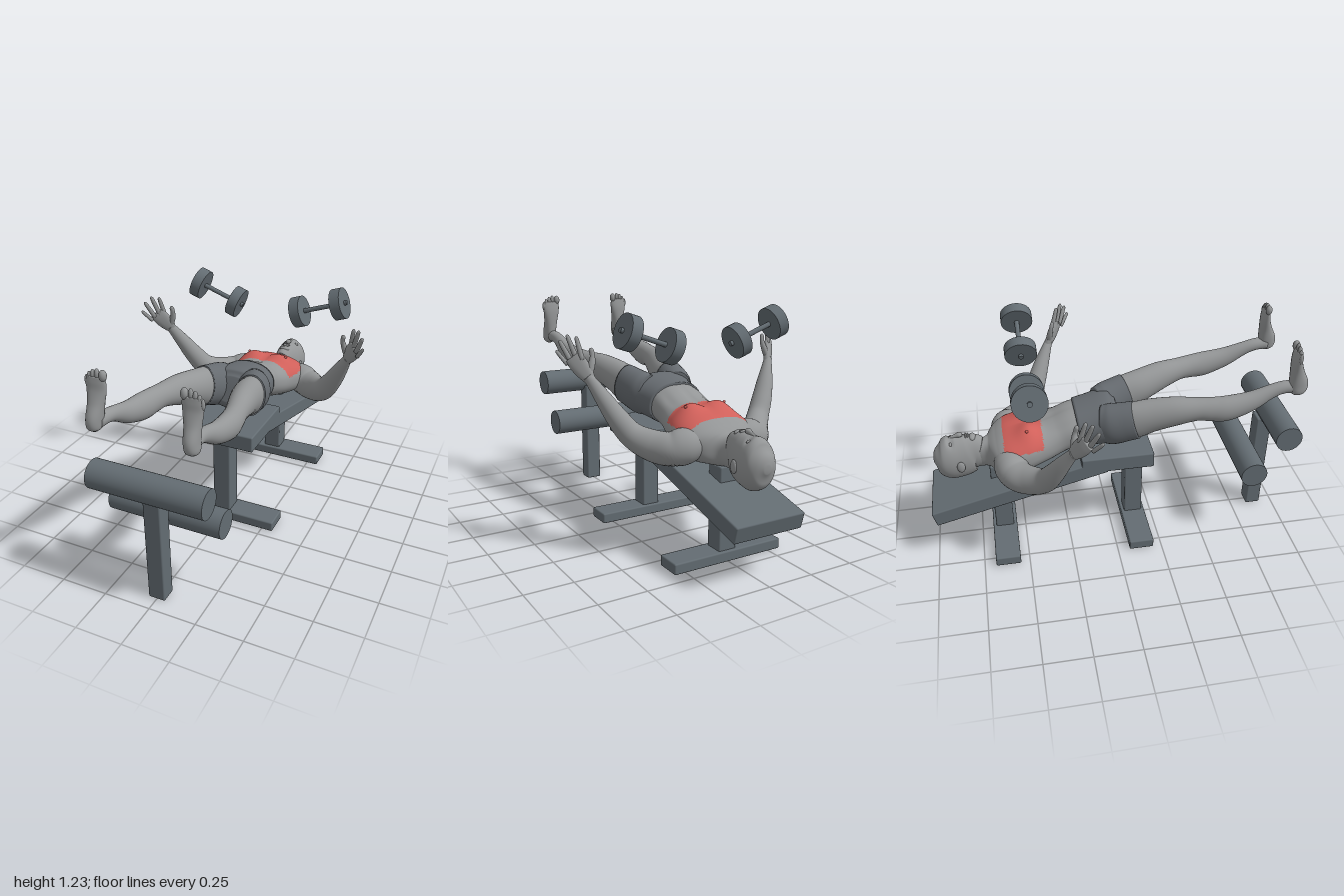
import * as THREE from 'three';
import { RoundedBoxGeometry } from 'three/addons/geometries/RoundedBoxGeometry.js';

const mat = (name, color) => Object.assign(new THREE.MeshStandardMaterial({ color }), { name });

// Closed smooth skin over elliptical sections [x, y, z, halfWidth, halfDepth]; side = width direction.
function loft(rows, { side = [1, 0, 0], seg = 32, steps = 6, power = 1 } = {}) {
  const path = new THREE.CatmullRomCurve3(rows.map(r => new THREE.Vector3(r[0], r[1], r[2])), false, 'catmullrom');
  const size = new THREE.CatmullRomCurve3(rows.map(r => new THREE.Vector3(r[3], r[4], 0)), false, 'catmullrom');
  const n = (rows.length - 1) * steps, pos = [], idx = [];
  const soft = v => Math.sign(v) * Math.abs(v) ** power;
  for (let i = 0; i <= n; i++) {
    const c = path.getPoint(i / n), r = size.getPoint(i / n), t = path.getTangent(i / n);
    const e1 = new THREE.Vector3(...side).projectOnPlane(t).normalize();
    const e2 = t.clone().cross(e1);
    for (let j = 0; j < seg; j++) {
      const a = j / seg * Math.PI * 2;
      const p = c.clone().addScaledVector(e1, r.x * soft(Math.cos(a))).addScaledVector(e2, r.y * soft(Math.sin(a)));
      pos.push(p.x, p.y, p.z);
    }
  }
  for (let i = 0; i < n; i++) for (let j = 0; j < seg; j++) {
    const a = i * seg + j, b = i * seg + (j + 1) % seg;
    idx.push(a, b, b + seg, a, b + seg, a + seg);
  }
  const c0 = (n + 1) * seg, first = path.getPoint(0), last = path.getPoint(1);
  pos.push(first.x, first.y, first.z, last.x, last.y, last.z);
  for (let j = 0; j < seg; j++) {
    const k = (j + 1) % seg;
    idx.push(c0, k, j, c0 + 1, n * seg + j, n * seg + k);
  }
  const g = new THREE.BufferGeometry();
  g.setAttribute('position', new THREE.Float32BufferAttribute(pos, 3));
  g.setIndex(idx);
  g.computeVertexNormals();
  return g;
}

// Move vertex heights by a rule
function sculpt(g, rule) {
  const p = g.attributes.position;
  for (let i = 0; i < p.count; i++) p.setY(i, p.getY(i) + rule(p.getX(i), p.getY(i), p.getZ(i)));
  g.computeVertexNormals();
  return g;
}

// Split faces into two material groups by a test on the face centre
function paint(g, test) {
  const p = g.attributes.position, id = g.index.array, sets = [[], []];
  for (let i = 0; i < id.length; i += 3) {
    const f = [id[i], id[i + 1], id[i + 2]];
    const mean = k => f.reduce((s, v) => s + p.getComponent(v, k), 0) / 3;
    sets[test(mean(0), mean(1), mean(2)) ? 1 : 0].push(...f);
  }
  g.setIndex([...sets[0], ...sets[1]]);
  g.addGroup(0, sets[0].length, 0);
  g.addGroup(sets[0].length, sets[1].length, 1);
  return g;
}

const gauss = (v, c, w) => Math.exp(-(((v - c) / w) ** 2));
// Section from [z, topY, bottomY, halfWidth]
const slab = ([z, top, bot, w]) => [0, (top + bot) / 2, z, w, (top - bot) / 2];

export function createModel() {
  const model = new THREE.Group();
  const skin = mat('skin grey', 0x949697), cloth = mat('shorts grey', 0x666b70);
  const metal = mat('equipment grey', 0x636c72), red = mat('muscle red', 0xd0605a);
  const add = (name, geo, m, parent = model, at = [0, 0, 0]) => {
    const mesh = new THREE.Mesh(geo, m);
    mesh.name = name;
    mesh.position.set(...at);
    parent.add(mesh);
    return mesh;
  };
  const group = name => { const g = new THREE.Group(); g.name = name; model.add(g); return g; };

  // Bench
  const bench = group('declineBench');
  const box = (name, w, h, d, at) => add(name, new RoundedBoxGeometry(w, h, d, 2, 0.008), metal, bench, at);
  box('seat', 0.39, 0.09, 0.395, [0, 0.535, 0.018]);
  box('backrest', 0.39, 0.088, 0.975, [0, 0.406, -0.5175]).rotation.x = -0.255;
  for (const [z, top] of [[0.134, 0.51], [-0.618, 0.49]]) {
    box('benchPost', 0.1, top - 0.02, 0.102, [0, (top + 0.02) / 2, z]);
    box('benchFoot', 0.63, 0.056, 0.137, [0, 0.03, z]);
  }
  // Leg support
  box('rollerPost', 0.09, 0.625, 0.085, [0, 0.3125, 0.884]);
  for (const [y, z] of [[0.657, 0.927], [0.434, 0.759]])
    add('roller', new THREE.CylinderGeometry(0.073, 0.073, 0.6, 40), metal, bench, [0, y, z]).rotation.z = Math.PI / 2;

  // Dumbbells
  for (const s of [1, -1]) {
    const d = group(s > 0 ? 'leftDumbbell' : 'rightDumbbell');
    d.position.set(s * 0.309, 1.095, -0.443);
    d.rotation.z = s * 0.34 - Math.PI / 2;
    add('handle', new THREE.CylinderGeometry(0.013, 0.013, 0.33, 16), metal, d);
    for (const e of [1, -1]) add('weight', new THREE.CylinderGeometry(0.086, 0.086, 0.058, 36), metal, d, [0, e * 0.121, 0]);
  }

  // Torso with chest mounds and a centre groove
  const torso = loft([[-0.12, 0.815, 0.61, 0.145], [-0.2, 0.805, 0.595, 0.148], [-0.28, 0.772, 0.57, 0.15],
    [-0.37, 0.745, 0.535, 0.175], [-0.45, 0.738, 0.51, 0.2], [-0.53, 0.722, 0.49, 0.21], [-0.59, 0.69, 0.483, 0.195],
    [-0.635, 0.662, 0.485, 0.14], [-0.67, 0.65, 0.488, 0.075], [-0.72, 0.645, 0.485, 0.05]].map(slab),
  { seg: 72, steps: 8, power: 0.88 });
  sculpt(torso, (x, y, z) => y < 0.62 ? 0 :
    0.032 * gauss(Math.abs(x), 0.09, 0.07) * gauss(z, -0.45, 0.06)
    - 0.007 * gauss(x, 0, 0.015) * gauss(z, -0.36, 0.14)
    - 0.006 * gauss(Math.abs(x), 0.105, 0.02) * gauss(z, -0.28, 0.08));
  add('torso', paint(torso, (x, y, z) => z < -0.375 && z > -0.58 && y > 0.665), [skin, red]);

  // Neck and head
  const head = loft([[-0.64, 0.65, 0.5, 0.065], [-0.69, 0.645, 0.485, 0.057], [-0.718, 0.66, 0.475, 0.056],
    [-0.738, 0.683, 0.463, 0.06], [-0.77, 0.69, 0.447, 0.072], [-0.82, 0.688, 0.428, 0.081], [-0.87, 0.684, 0.423, 0.086],
    [-0.91, 0.662, 0.44, 0.08], [-0.94, 0.62, 0.483, 0.056], [-0.958, 0.57, 0.53, 0.018]].map(slab), { seg: 48 });
  // Eye sockets and brow
  sculpt(head, (x, y, z) => y < 0.6 ? 0 : -0.014 * gauss(Math.abs(x), 0.035, 0.018) * gauss(z, -0.858, 0.014)
    + 0.004 * gauss(x, 0, 0.05) * gauss(z, -0.885, 0.012));
  add('head', head, skin);
  const ball = (name, at, r, m = skin) => add(name, new THREE.SphereGeometry(1, 20, 14), m, model, at).scale.set(...r);
  add('nose', loft([[0, 0.676, -0.865, 0.008, 0.01], [0, 0.688, -0.83, 0.01, 0.012], [0, 0.695, -0.806, 0.016, 0.014],
    [0, 0.687, -0.795, 0.008, 0.006]], { seg: 16 }), skin);
  ball('upperLip', [0, 0.687, -0.776], [0.023, 0.009, 0.006]);
  ball('lowerLip', [0, 0.686, -0.765], [0.02, 0.009, 0.006]);
  ball('chin', [0, 0.672, -0.742], [0.03, 0.018, 0.02]);

  for (const s of [1, -1]) {
    const side = s > 0 ? 'left' : 'right';
    const limb = (name, rows, m, opt = {}) => {
      const w = opt.side || [1, 0, 0];
      return add(side + name, loft(rows.map(([x, ...r]) => [s * x, ...r]), { ...opt, side: [s * w[0], w[1], w[2]] }), m);
    };
    ball(side + 'Eye', [s * 0.034, 0.66, -0.858], [0.014, 0.01, 0.008]);
    ball(side + 'Ear', [s * 0.084, 0.54, -0.815], [0.011, 0.034, 0.022]);
    ball(side + 'Nipple', [s * 0.115, 0.752, -0.455], [0.008, 0.008, 0.008], red);

    // Arm
    limb('Arm', [[0.12, 0.6, -0.57, 0.07, 0.07], [0.185, 0.588, -0.555, 0.085, 0.09], [0.25, 0.575, -0.52, 0.083, 0.083],
      [0.315, 0.59, -0.46, 0.077, 0.066], [0.38, 0.632, -0.395, 0.064, 0.058], [0.435, 0.71, -0.355, 0.054, 0.053],
      [0.485, 0.8, -0.315, 0.042, 0.042], [0.533, 0.89, -0.272, 0.028, 0.024], [0.545, 0.91, -0.26, 0.026, 0.022]],
    skin, { side: [0.7, -0.3, 0.6] });
    // Hand: palm, four fingers and thumb
    const across = [0.8, -0.3, 0.55];
    limb('Palm', [[0.53, 0.885, -0.275, 0.022, 0.016], [0.55, 0.925, -0.25, 0.038, 0.02], [0.575, 0.97, -0.222, 0.045, 0.018],
      [0.593, 1.005, -0.203, 0.042, 0.012]], skin, { side: across, power: 0.85 });
    const finger = (name, a, b, r) => limb(name, [0, 0.5, 0.9, 1].map((t, i) =>
      [...a.map((v, k) => v + (b[k] - v) * t), r * [1, 0.95, 0.75, 0.3][i], r * [1, 0.95, 0.75, 0.3][i]]),
    skin, { side: across, seg: 12, steps: 3 });
    finger('IndexFinger', [0.56, 0.99, -0.235], [0.577, 1.1, -0.205], 0.013);
    finger('MiddleFinger', [0.58, 0.995, -0.212], [0.612, 1.108, -0.178], 0.013);
    finger('RingFinger', [0.602, 0.985, -0.192], [0.64, 1.08, -0.152], 0.013);
    finger('LittleFinger', [0.613, 0.965, -0.18], [0.652, 1.03, -0.135], 0.011);
    limb('Thumb', [[0.54, 0.915, -0.26, 0.018, 0.016], [0.522, 0.965, -0.255, 0.018, 0.016], [0.512, 1.005, -0.247, 0.013, 0.012],
      [0.515, 1.035, -0.24, 0.012, 0.01], [0.517, 1.045, -0.238, 0.004, 0.004]], skin, { side: across, seg: 14 });

    // Leg
    limb('Leg', [[0.125, 0.76, 0.06, 0.075, 0.1], [0.137, 0.775, 0.12, 0.076, 0.105], [0.15, 0.803, 0.2, 0.077, 0.094],
      [0.18, 0.835, 0.32, 0.068, 0.08], [0.205, 0.852, 0.43, 0.057, 0.063], [0.22, 0.853, 0.5, 0.055, 0.066],
      [0.23, 0.856, 0.58, 0.056, 0.07], [0.232, 0.885, 0.7, 0.046, 0.056], [0.229, 0.928, 0.8, 0.034, 0.04],
      [0.229, 0.951, 0.87, 0.032, 0.034], [0.235, 0.956, 0.945, 0.032, 0.036]], skin);
    // Foot with toes pointing up
    limb('Foot', [[0.243, 0.912, 0.955, 0.012, 0.014], [0.243, 0.93, 0.953, 0.031, 0.04], [0.24, 0.975, 0.95, 0.035, 0.05],
      [0.237, 1.04, 0.935, 0.039, 0.037], [0.235, 1.1, 0.925, 0.048, 0.025], [0.235, 1.14, 0.924, 0.051, 0.018],
      [0.235, 1.168, 0.924, 0.045, 0.012]], skin, { power: 0.92 });
    [[0.197, 1.188, 0.018], [0.226, 1.19, 0.012], [0.247, 1.183, 0.0115], [0.266, 1.17, 0.011], [0.281, 1.153, 0.01]]
      .forEach(([x, y, r]) => ball(side + 'Toe', [s * x, y - 0.012, 0.924], [r, 0.027, r]));
    // Shorts leg
    limb('ShortsLeg', [[0.09, 0.735, -0.05, 0.08, 0.11], [0.107, 0.742, 0, 0.092, 0.118], [0.127, 0.762, 0.07, 0.086, 0.113],
      [0.139, 0.775, 0.12, 0.081, 0.111]], cloth);
  }
  // Shorts body
  add('shorts', loft([[-0.18, 0.818, 0.59, 0.155], [-0.1, 0.835, 0.597, 0.166], [-0.02, 0.85, 0.61, 0.184],
    [0.03, 0.848, 0.635, 0.17], [0.055, 0.82, 0.68, 0.1]].map(slab), { seg: 48, power: 0.9 }), cloth);
  return model;
}
